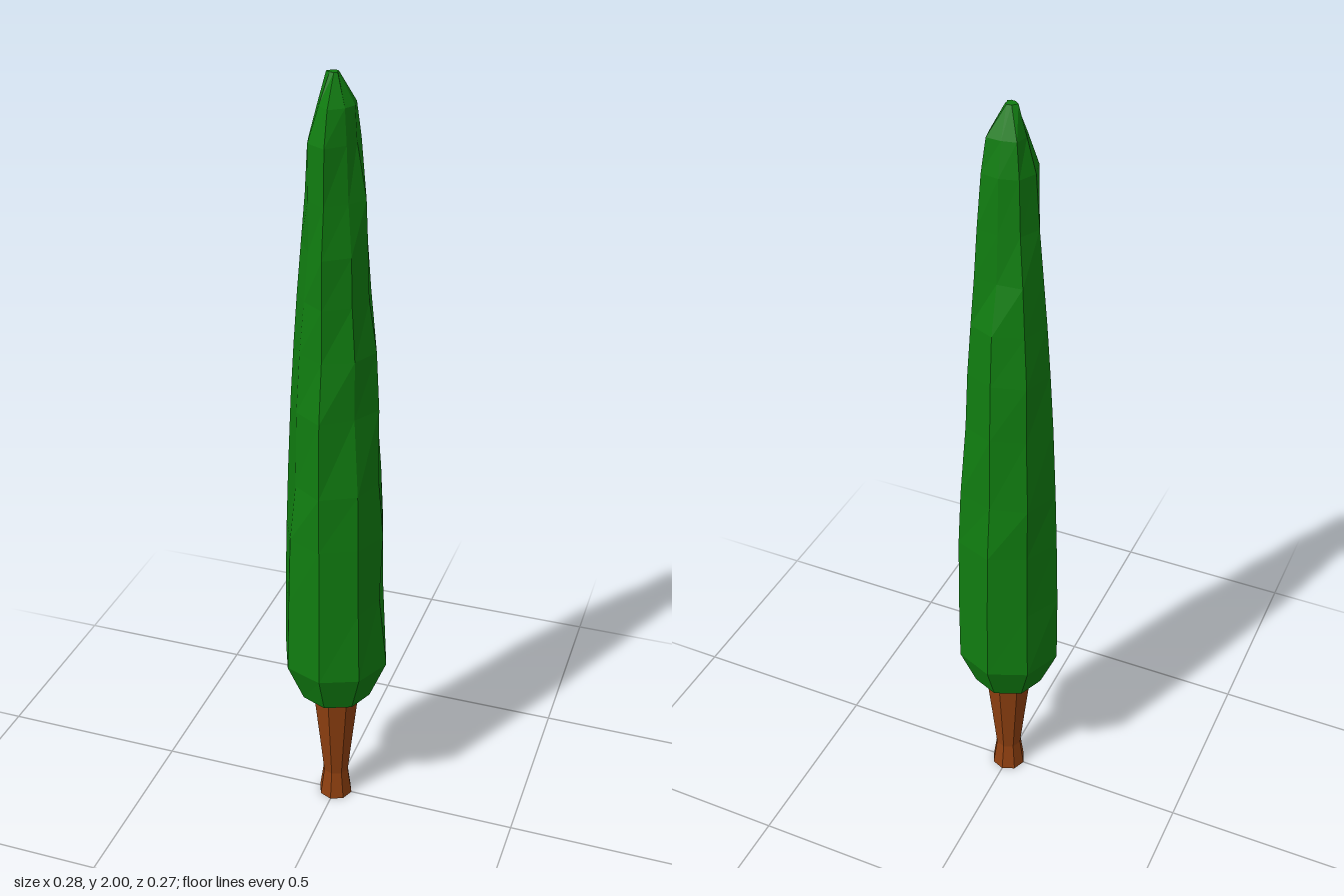
import * as THREE from 'three';

const SIDES = 8;

// Each ring: height, then radii in hundredths at +x, +x+z, +z, -x+z, -x, -x-z, -z, +x-z.
const FOLIAGE_RINGS = [
  [0.35, [9.5, 9.5, 9.5, 9.5, 9.5, 9.5, 9.5, 9.5]],
  [0.46, [14, 13.5, 13.5, 14, 14, 13.8, 13.8, 13.8]],
  [0.66, [11.8, 12.8, 13.2, 13.4, 13.8, 13, 13.4, 13.8]],
  [0.85, [12.5, 12.5, 13, 12.7, 13.2, 12.6, 13, 13.5]],
  [1.0, [11.2, 12, 13, 11, 12.6, 12.8, 11.5, 12.7]],
  [1.2, [11, 10, 12.4, 10.5, 11.6, 11.6, 11, 11]],
  [1.35, [10.2, 10, 10.4, 9.5, 10.6, 11.5, 10.4, 10.3]],
  [1.48, [8.2, 8.5, 10, 8.2, 9.6, 10, 9.5, 9.3]],
  [1.6, [7.8, 8, 10, 7, 8.5, 8.7, 6.6, 8.3]],
  [1.72, [7.3, 6.4, 8.4, 7, 7.4, 7, 6, 7.5]],
  [1.85, [5, 5.4, 8, 7, 6.4, 6.2, 5.5, 6.4]],
  [1.93, [4.5, 4.5, 5.8, 4.2, 4.2, 4.8, 4, 5.2]],
  [2.0, [0.5, 1, 1.3, 1.5, 2.2, 1.6, 1.2, 0.8]],
];

const TRUNK_RINGS = [[0, 4.6], [0.08, 3.5], [0.2, 4.8], [0.36, 6.6]]
  .map(([y, r]) => [y, Array(SIDES).fill(r)]);

// Joins octagonal rings into a closed, faceted skin.
function skinRings(rings) {
  const positions = [];
  const index = [];
  for (const [y, radii] of rings) {
    radii.forEach((r, i) => {
      const a = (i / SIDES) * Math.PI * 2;
      positions.push(Math.cos(a) * r * 0.01, y, Math.sin(a) * r * 0.01);
    });
  }
  for (let k = 0; k < rings.length - 1; k++) {
    for (let i = 0; i < SIDES; i++) {
      const a = k * SIDES + i;
      const b = k * SIDES + ((i + 1) % SIDES);
      index.push(a, a + SIDES, b, b, a + SIDES, b + SIDES);
    }
  }
  // Flat bottom and top caps
  const top = (rings.length - 1) * SIDES;
  for (let i = 1; i < SIDES - 1; i++) {
    index.push(0, i, i + 1);
    index.push(top, top + i + 1, top + i);
  }
  const geometry = new THREE.BufferGeometry();
  geometry.setAttribute('position', new THREE.Float32BufferAttribute(positions, 3));
  geometry.setIndex(index);
  const faceted = geometry.toNonIndexed();
  faceted.computeVertexNormals();
  return faceted;
}

function addPart(group, name, rings, material) {
  const mesh = new THREE.Mesh(skinRings(rings), material);
  mesh.name = name;
  group.add(mesh);
}

export function createModel() {
  const leafGreen = new THREE.MeshStandardMaterial({ color: 0x107c10, flatShading: true });
  leafGreen.name = 'leaf green';
  const barkBrown = new THREE.MeshStandardMaterial({ color: 0x8f4010, flatShading: true });
  barkBrown.name = 'bark brown';

  const tree = new THREE.Group();
  tree.name = 'cypressTree';
  addPart(tree, 'trunk', TRUNK_RINGS, barkBrown);
  addPart(tree, 'foliage', FOLIAGE_RINGS, leafGreen);
  return tree;
}
